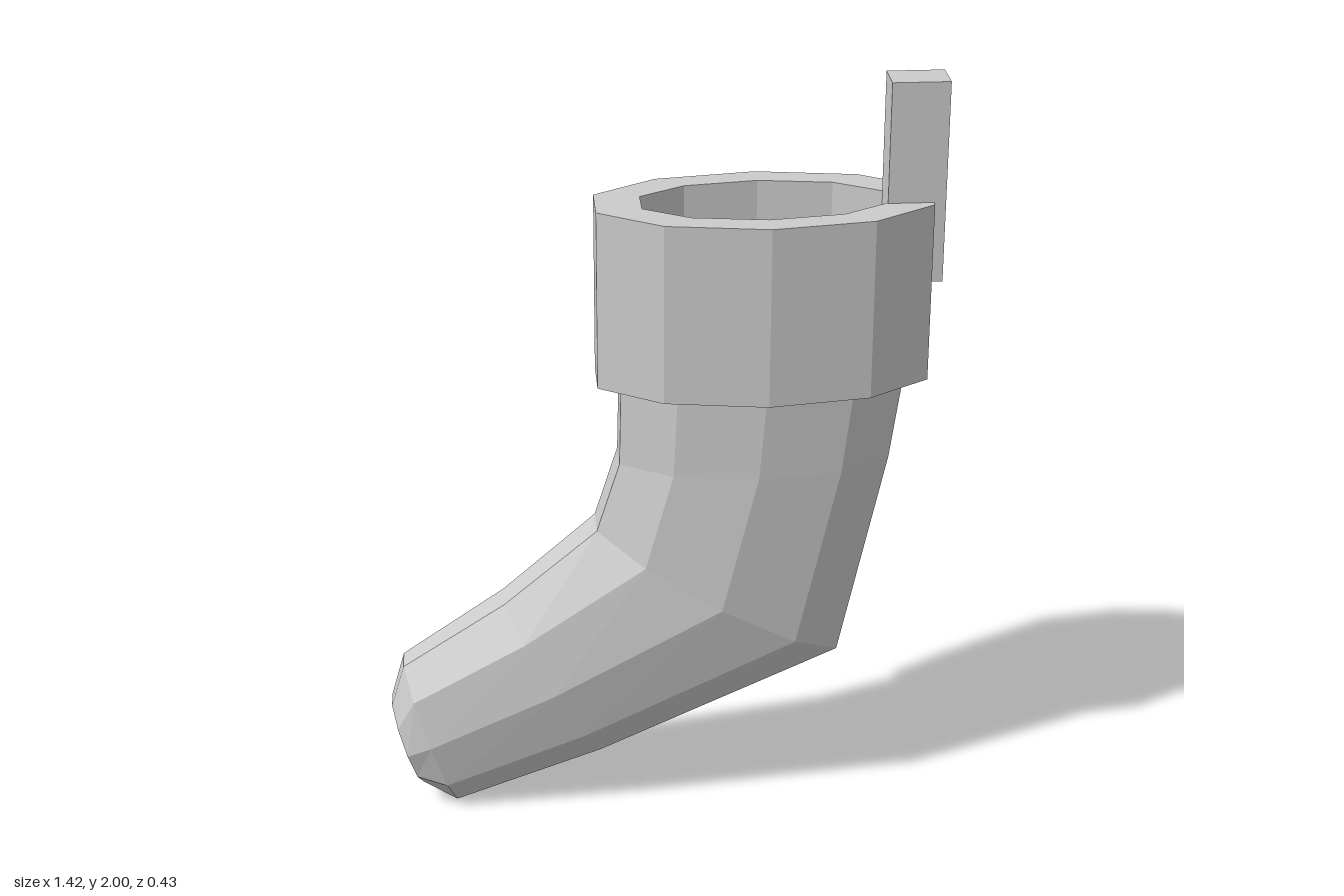
import * as THREE from 'three';

const SIDES = 10;

// One cross-section [ax, ay, bx, by, w]: a decagon from instep point a to heel point b, half-width w in z
function ring([ax, ay, bx, by, w]) {
  const points = [];
  for (let i = 0; i < SIDES; i++) {
    const t = Math.PI / 10 + (i * 2 * Math.PI) / SIDES;
    const u = Math.cos(t) / Math.cos(Math.PI / 10) / 2;
    points.push(new THREE.Vector3((ax + bx) / 2 + (bx - ax) * u, (ay + by) / 2 + (by - ay) * u, w * Math.sin(t)));
  }
  return points;
}

// Skin over a row of cross-sections; a flat cap can close either end
function loft(sections, { capStart = false, capEnd = false } = {}) {
  const rings = sections.map(ring);
  const pos = [];
  const tri = (...corners) => corners.forEach((v) => pos.push(v.x, v.y, v.z));
  for (let s = 0; s < rings.length - 1; s++) {
    for (let i = 0; i < SIDES; i++) {
      const j = (i + 1) % SIDES;
      const [p, q, p2, q2] = [rings[s][i], rings[s][j], rings[s + 1][i], rings[s + 1][j]];
      tri(p, q, p2);
      tri(q, q2, p2);
    }
  }
  const first = rings[0];
  const last = rings[rings.length - 1];
  for (let i = 1; i < SIDES - 1; i++) {
    if (capStart) tri(first[0], first[i + 1], first[i]);
    if (capEnd) tri(last[0], last[i], last[i + 1]);
  }
  const geometry = new THREE.BufferGeometry();
  geometry.setAttribute('position', new THREE.Float32BufferAttribute(pos, 3));
  geometry.computeVertexNormals();
  return geometry;
}

export function createModel() {
  const group = new THREE.Group();
  group.name = 'stocking';
  const material = new THREE.MeshStandardMaterial({ color: 0xcccccc, flatShading: true });
  const add = (name, geometry) => {
    const mesh = new THREE.Mesh(geometry, material);
    mesh.name = name;
    group.add(mesh);
    return mesh;
  };

  // Leg, ankle and foot, from cuff down to the blunt toe
  add('legAndFoot', loft([
    [-0.1, 1.22, 0.62, 1.22, 0.17],
    [-0.105, 1.0, 0.59, 1.0, 0.17],
    [-0.165, 0.81, 0.47, 0.44, 0.17],
    [-0.41, 0.6, -0.16, 0.15, 0.148],
    [-0.68, 0.42, -0.55, 0.005, 0.12],
    [-0.715, 0.3, -0.64, 0.06, 0.1],
  ], { capEnd: true }));

  // Hollow inside, from the foot up to the cuff
  add('lining', loft([
    [-0.36, 0.54, -0.16, 0.25, 0.12],
    [-0.1, 0.75, 0.355, 0.5, 0.145],
    [-0.045, 1.0, 0.54, 1.0, 0.145],
    [-0.045, 1.22, 0.565, 1.22, 0.145],
  ], { capStart: true }));

  // Thick cuff: inner wall, rim, outer wall, underside
  add('cuff', loft([
    [-0.045, 1.22, 0.565, 1.22, 0.145],
    [-0.045, 1.69, 0.565, 1.69, 0.145],
    [-0.16, 1.69, 0.68, 1.69, 0.215],
    [-0.16, 1.22, 0.68, 1.22, 0.215],
    [-0.1, 1.22, 0.62, 1.22, 0.17],
  ]));

  // Hanging tab at the back of the cuff
  add('hangingTab', new THREE.BoxGeometry(0.145, 0.52, 0.1)).position.set(0.6375, 1.74, 0);

  return group;
}
